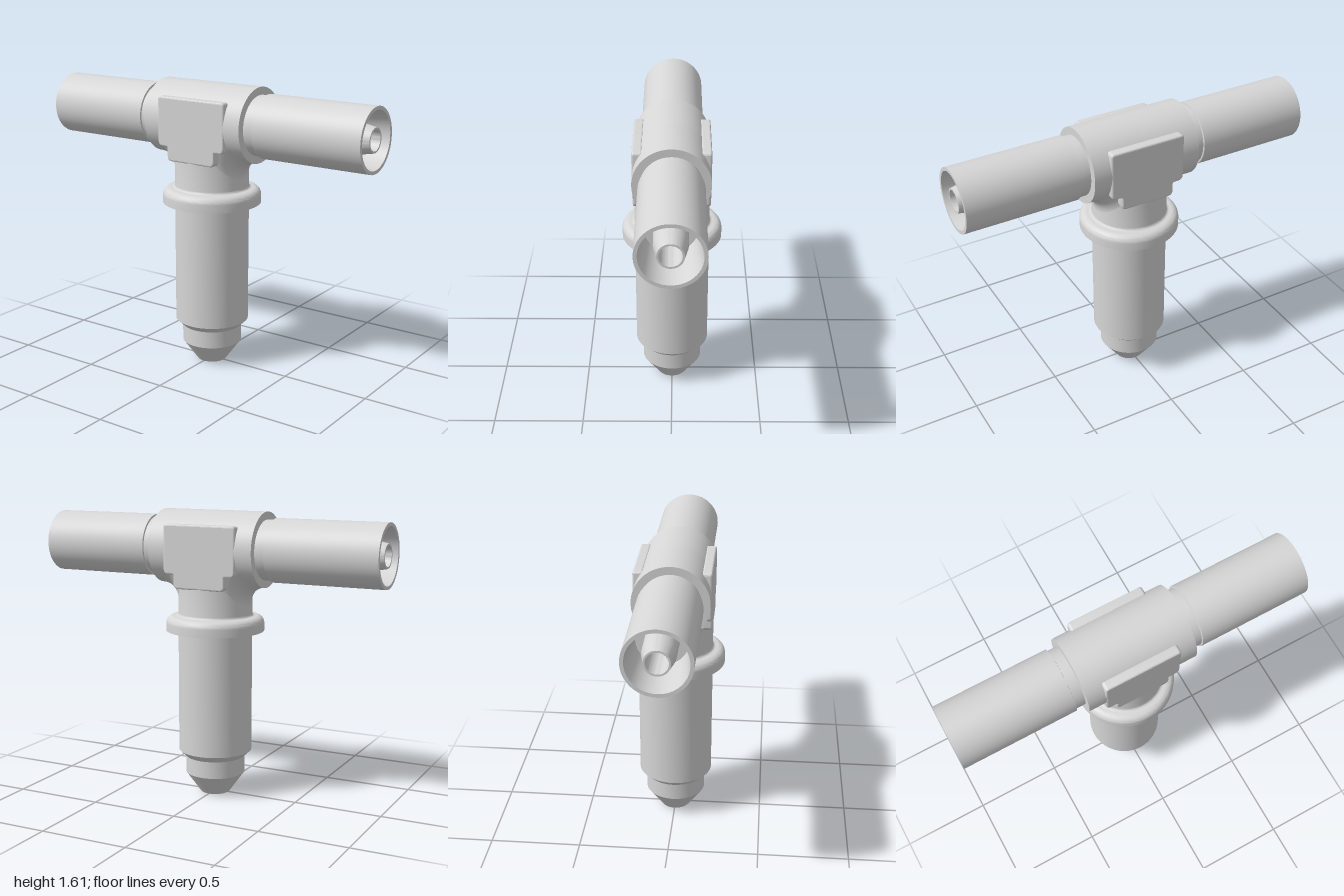
import * as THREE from 'three';
import { toCreasedNormals } from 'three/addons/utils/BufferGeometryUtils.js';

const R = 0.207;      // radius of the tee body and stem
const AXIS = 1.406;   // height of the horizontal axis
const FILLET = 0.1;   // radius where the stem meets the body

const grey = new THREE.MeshStandardMaterial({ color: 0xd6d6d6 });
grey.name = 'satin grey';

function part(name, geometry) {
  const mesh = new THREE.Mesh(geometry, grey);
  mesh.name = name;
  return mesh;
}

// Turned solid from [radius, height] pairs, with crisp edges
function turned(profile) {
  const points = profile.map(([r, y]) => new THREE.Vector2(r, y));
  return toCreasedNormals(new THREE.LatheGeometry(points, 72), 0.5);
}

// Quarter arc as [radius, height] pairs
function arc(cx, cy, r, from, to, steps = 8) {
  return Array.from({ length: steps + 1 }, (_, i) => {
    const a = from + ((to - from) * i) / steps;
    return [cx + r * Math.cos(a), cy + r * Math.sin(a)];
  });
}

// Stem with collar, stepped tapered tip and open bore; it ends below the cross bore
function stemGeometry() {
  return turned([
    [0.07, 1.335], [0.07, 0], [0.083, 0], [0.168, 0.118], [0.168, 0.215],
    [R, 0.252], [R, 0.943], [0.275, 0.943],
    ...arc(0.233, 0.986, 0.042, 0, Math.PI / 2),
    ...arc(R + 0.015, 1.043, 0.015, -Math.PI / 2, -Math.PI, 4),
    [R, 1.335], [0.07, 1.335],
  ]);
}

// Half of the horizontal run: body, neck, sleeve, socket and inner nozzle
function armGeometry() {
  return turned([
    [R, 0], [R, 0.312], [0.164, 0.312], [0.164, 0.365], [0.174, 0.367],
    [0.174, 1], [0.155, 1], [0.131, 0.74], [0.085, 0.74],
    [0.084, 0.9], [0.066, 0.995], [0.056, 0.995], [0.056, 0],
  ]);
}

// Concave blend between stem and body, following both cylinders across z
function filletGeometry() {
  const nz = 48, na = 12;
  const positions = [], index = [];
  for (let i = 0; i <= nz; i++) {
    const t = -Math.PI / 2 + (Math.PI * i) / nz;
    const z = R * Math.sin(t), h = R * Math.cos(t);
    for (let j = 0; j <= na; j++) {
      const a = Math.PI / 2 + ((Math.PI / 2) * j) / na;
      positions.push(
        h + FILLET + FILLET * Math.cos(a),
        AXIS - h - FILLET + FILLET * Math.sin(a),
        z * 0.995,
      );
      if (i < nz && j < na) {
        const p = i * (na + 1) + j, q = p + na + 1;
        index.push(p, q, p + 1, q, q + 1, p + 1);
      }
    }
  }
  const g = new THREE.BufferGeometry();
  g.setAttribute('position', new THREE.Float32BufferAttribute(positions, 3));
  g.setIndex(index);
  g.computeVertexNormals();
  return g;
}

// Flat pad with a narrower lower tab and softened edges
function padGeometry() {
  const b = 0.01, c = 0.018;
  const w = 0.216 - b, n = 0.155 - b, top = 1.543 - b, step = 1.268 + b, low = 1.19 + b;
  const s = new THREE.Shape();
  s.moveTo(-n + c, low);
  s.lineTo(n - c, low);
  s.quadraticCurveTo(n, low, n, low + c);
  s.lineTo(n, step - c);
  s.quadraticCurveTo(n, step, n + c, step);
  s.lineTo(w - c, step);
  s.quadraticCurveTo(w, step, w, step + c);
  s.lineTo(w, top - c / 2);
  s.quadraticCurveTo(w, top, w - c / 2, top);
  s.lineTo(-w + c / 2, top);
  s.quadraticCurveTo(-w, top, -w, top - c / 2);
  s.lineTo(-w, step + c);
  s.quadraticCurveTo(-w, step, -w + c, step);
  s.lineTo(-n - c, step);
  s.quadraticCurveTo(-n, step, -n, step - c);
  s.lineTo(-n, low + c);
  s.quadraticCurveTo(-n, low, -n + c, low);
  const g = new THREE.ExtrudeGeometry(s, {
    depth: 0.035, bevelSize: b, bevelThickness: b, bevelSegments: 3, curveSegments: 5,
  });
  g.translate(0, 0, 0.209 - 0.035 - b);
  return toCreasedNormals(g, 0.2);
}

export function createModel() {
  const model = new THREE.Group();
  model.name = 'teeFitting';
  model.add(part('stem', stemGeometry()));

  const arm = armGeometry(), fillet = filletGeometry(), pad = padGeometry();

  // Left and right arms with their blends into the stem
  for (const [side, sign] of [['left', 1], ['right', -1]]) {
    const armMesh = part(side + 'Arm', arm);
    armMesh.rotation.z = (-sign * Math.PI) / 2;
    armMesh.position.y = AXIS;
    const blend = part(side + 'Fillet', fillet);
    blend.rotation.y = sign > 0 ? 0 : Math.PI;
    model.add(armMesh, blend);
  }

  // Front and back pads
  for (const [side, turn] of [['front', 0], ['back', Math.PI]]) {
    const padMesh = part(side + 'Pad', pad);
    padMesh.rotation.y = turn;
    model.add(padMesh);
  }
  return model;
}
